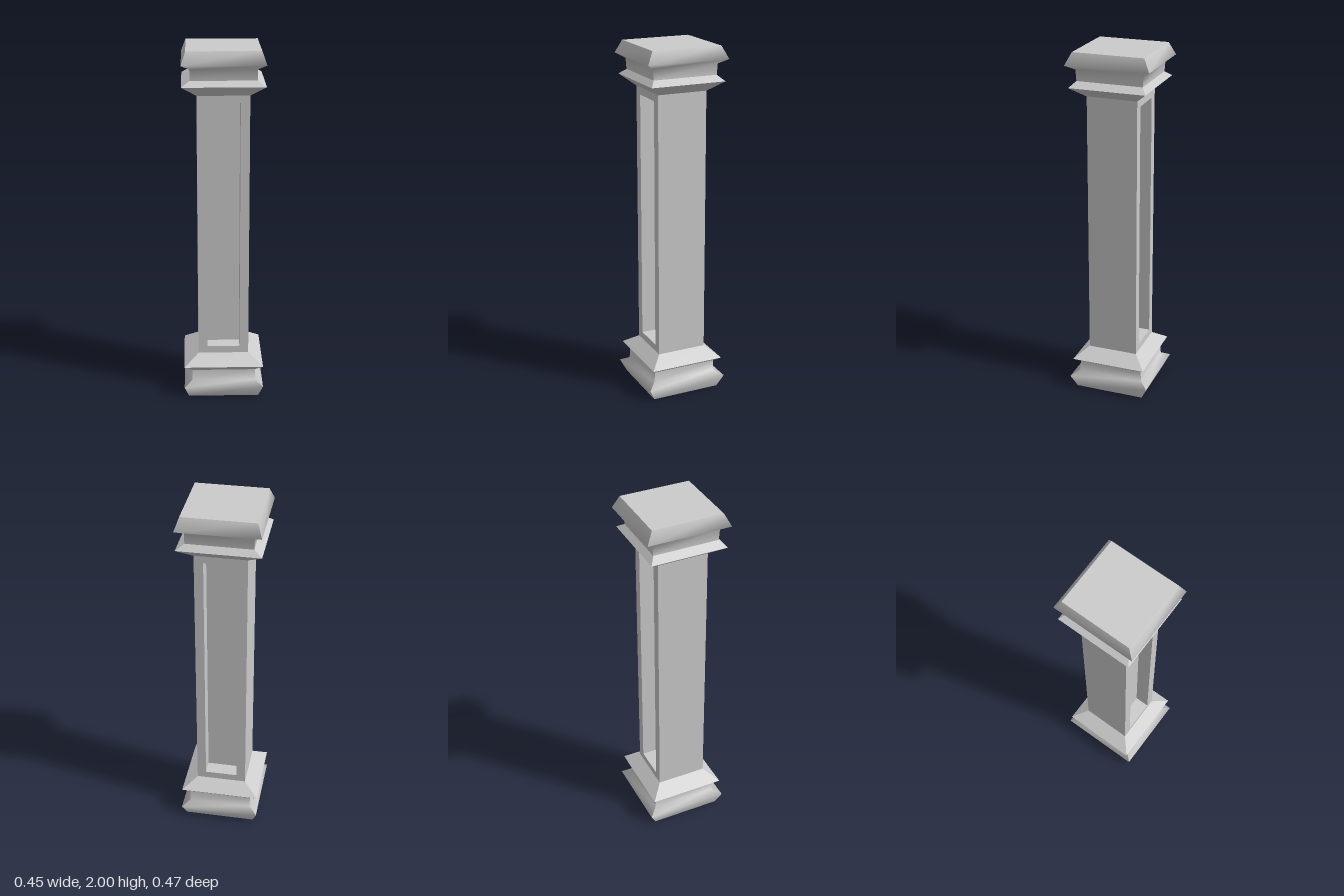
import * as THREE from 'three';

const material = new THREE.MeshStandardMaterial({ color: 0xcccccc });
const SHAFT = 0.143;

// corner signs in order around the column, counter-clockwise seen from above
const CORNERS = [[-1, 1], [1, 1], [1, -1], [-1, -1]];

// Moulding bands from the ground up: rows are [y, half width, half depth].
// Rows inside a band are smoothed together; bands meet at sharp edges.
const BANDS = [
  [[0, 0.2, 0.2], [0.07, 0.225, 0.235], [0.097, 0.18, 0.19], [0.158, 0.18, 0.185]],
  [[0.158, 0.18, 0.185], [0.188, 0.225, 0.215]],
  [[0.188, 0.225, 0.215], [0.247, SHAFT, SHAFT]],
];

function geometryFrom(positions, index) {
  const geometry = new THREE.BufferGeometry();
  geometry.setAttribute('position', new THREE.Float32BufferAttribute(positions, 3));
  geometry.setIndex(index);
  geometry.computeVertexNormals();
  return geometry;
}

const cornerPoint = ([y, w, d], k) => {
  const [sx, sz] = CORNERS[k % 4];
  return [sx * w, y, sz * d];
};

// one side of one band, rows running upward
function bandSide(rows, k) {
  const positions = rows.flatMap((r) => [...cornerPoint(r, k), ...cornerPoint(r, k + 1)]);
  const index = [];
  for (let i = 0; i < rows.length - 1; i++) {
    const a = i * 2;
    index.push(a, a + 1, a + 3, a, a + 3, a + 2);
  }
  return geometryFrom(positions, index);
}

function cap(row, up) {
  const positions = CORNERS.flatMap((_, k) => cornerPoint(row, k));
  return geometryFrom(positions, up ? [0, 1, 2, 0, 2, 3] : [0, 2, 1, 0, 3, 2]);
}

function moulding(name, bands, topDown) {
  const group = new THREE.Group();
  group.name = name;
  const add = (geometry, part) => {
    const mesh = new THREE.Mesh(geometry, material);
    mesh.name = part;
    group.add(mesh);
  };
  for (const rows of bands) {
    for (let k = 0; k < 4; k++) add(bandSide(rows, k), 'mouldingSide');
  }
  const first = bands[0][0];
  const last = bands[bands.length - 1].at(-1);
  add(cap(topDown ? last : first, topDown), topDown ? 'topFace' : 'bottomFace');
  return group;
}

function rectangle(target, w, y0, y1) {
  target.moveTo(-w, y0);
  target.lineTo(w, y0);
  target.lineTo(w, y1);
  target.lineTo(-w, y1);
  target.closePath();
  return target;
}

export function createModel() {
  const model = new THREE.Group();
  model.name = 'column';

  // base, and the same profile mirrored as the capital
  model.add(moulding('base', BANDS, false));
  const flipped = BANDS.map((rows) => rows.map(([y, w, d]) => [2 - y, w, d]).reverse()).reverse();
  model.add(moulding('capital', flipped, true));

  // shaft with a tall opening through front and back
  const outline = rectangle(new THREE.Shape(), SHAFT, 0.247, 1.753);
  outline.holes.push(rectangle(new THREE.Path(), 0.0925, 0.288, 1.712));
  const shaftGeometry = new THREE.ExtrudeGeometry(outline, { depth: SHAFT * 2, bevelEnabled: false });
  shaftGeometry.translate(0, 0, -SHAFT);
  const shaft = new THREE.Mesh(shaftGeometry, material);
  shaft.name = 'shaft';
  model.add(shaft);

  // recessed panel filling the middle of the opening
  const panel = new THREE.Mesh(new THREE.BoxGeometry(0.185, 1.424, 0.12), material);
  panel.name = 'recessedPanel';
  panel.position.y = 1;
  model.add(panel);

  return model;
}
